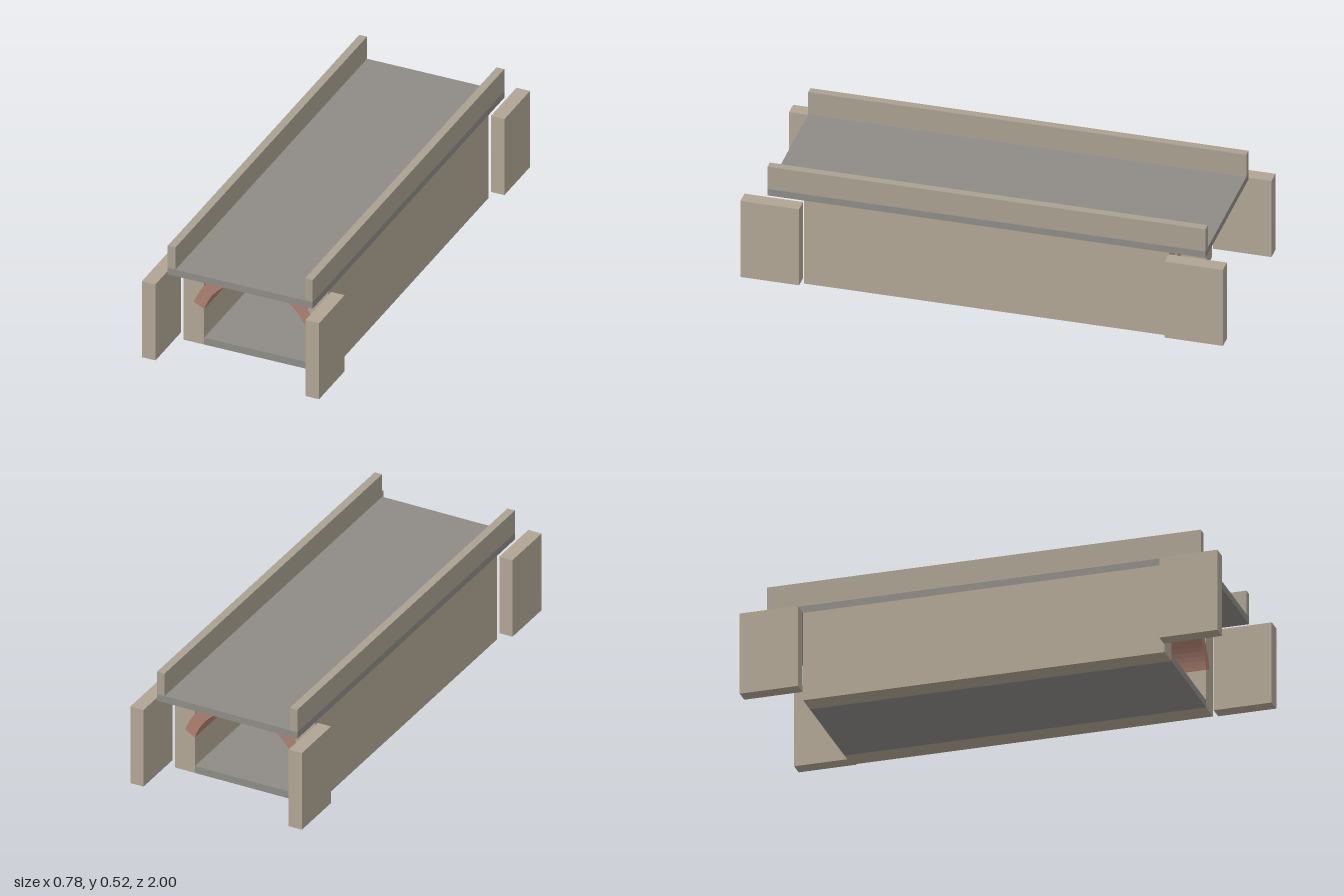
import * as THREE from 'three';

const stone = new THREE.MeshStandardMaterial({ color: 0xb0a594 });
const parapetStone = new THREE.MeshStandardMaterial({ color: 0xa9a090 });
const concrete = new THREE.MeshStandardMaterial({ color: 0x8e8b86 });
const brick = new THREE.MeshStandardMaterial({ color: 0xac8070, flatShading: true });

// Box given by its extents on each axis
function block(name, material, [x0, x1], [y0, y1], [z0, z1]) {
  const mesh = new THREE.Mesh(new THREE.BoxGeometry(x1 - x0, y1 - y0, z1 - z0), material);
  mesh.position.set((x0 + x1) / 2, (y0 + y1) / 2, (z0 + z1) / 2);
  mesh.name = name;
  return mesh;
}

export function createModel() {
  const group = new THREE.Group();
  group.name = 'archedUnderpass';
  const tunnel = 0.757; // half length of the passage
  const deck = 0.908; // half length of the deck

  // Floor slab and road deck
  group.add(block('floor', concrete, [-0.229, 0.229], [0, 0.032], [-tunnel, tunnel]));
  group.add(block('deck', concrete, [-0.319, 0.319], [0.385, 0.415], [-deck, deck]));

  // Side walls, parapets and the four detached wing walls
  for (const [side, s] of [['left', 1], ['right', -1]]) {
    const span = (a, b) => (s > 0 ? [a, b] : [-b, -a]);
    group.add(block(side + 'Wall', stone, span(0.229, 0.319), [0, 0.385], [-tunnel, tunnel]));
    group.add(block(side + 'Parapet', parapetStone, span(0.285, 0.319), [0.415, 0.518], [-deck, deck]));
    group.add(block(side + 'FrontWingWall', stone, span(0.33, 0.39), [0.032, 0.385], [tunnel, 1]));
    group.add(block(side + 'BackWingWall', stone, span(0.33, 0.39), [0.032, 0.385], [-1, -tunnel]));
  }

  // Barrel vault: a ring segment whose ends are set into the walls
  const vault = new THREE.Shape();
  const outer = 0.321, inner = 0.287;
  vault.absarc(0, 0.097, 0.288, outer, Math.PI - outer, false);
  vault.absarc(0, 0.097, 0.238, Math.PI - inner, inner, true);
  vault.closePath();
  const half = tunnel + 0.0005;
  const arch = new THREE.Mesh(
    new THREE.ExtrudeGeometry(vault, { depth: half * 2, bevelEnabled: false, curveSegments: 16 }),
    brick
  );
  arch.position.z = -half;
  arch.name = 'archVault';
  group.add(arch);

  return group;
}
